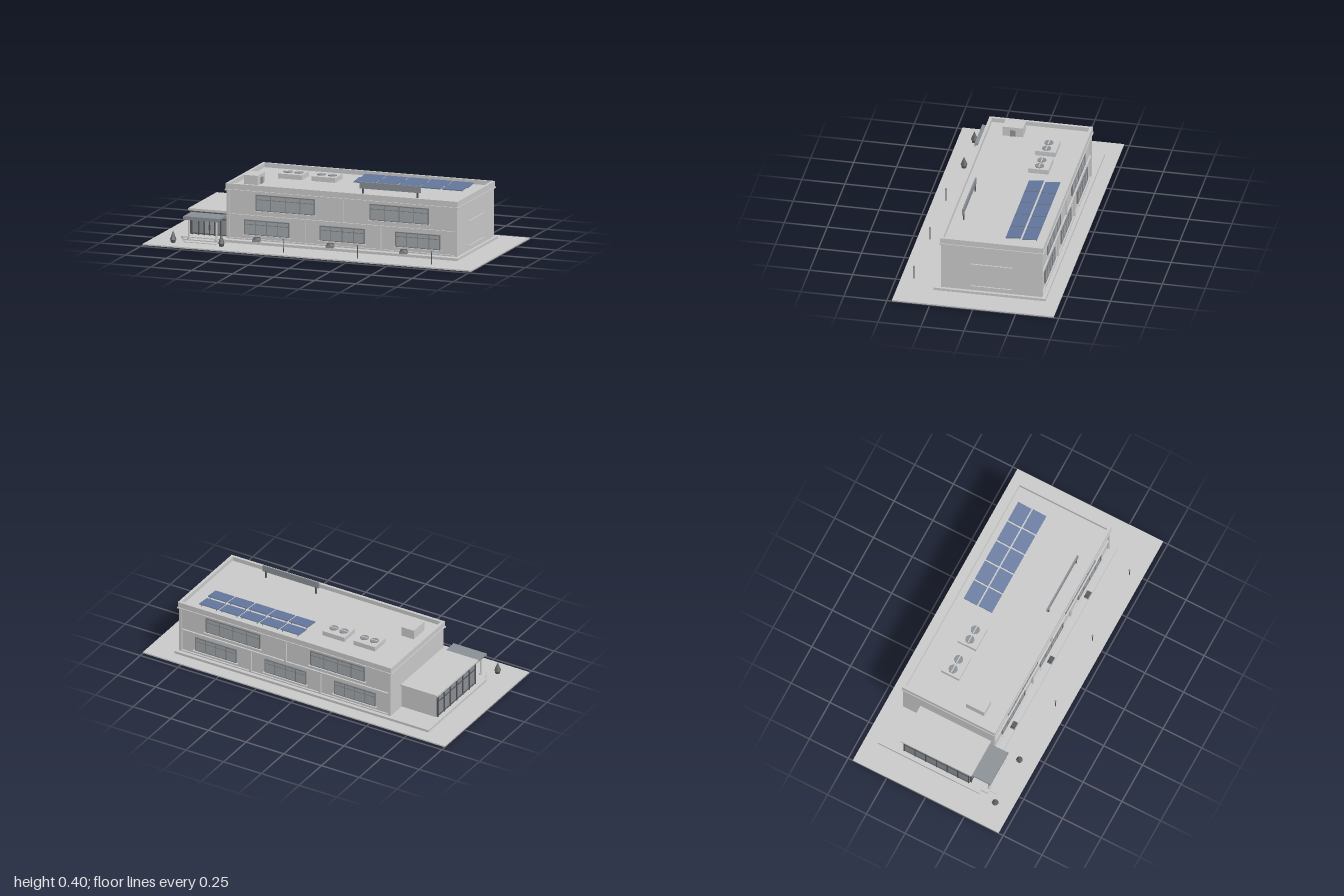
import * as THREE from 'three';

const mat = (name, color, extra = {}) => {
  const m = new THREE.MeshStandardMaterial({ color, ...extra });
  m.name = name;
  return m;
};

export function createModel() {
  const root = new THREE.Group();
  root.name = 'officeBuilding';
  const wall = mat('concrete', 0xc8c8c8);
  const frameMat = mat('frameGrey', 0x7c8084);
  const glass = mat('glassGrey', 0xa2a6aa);
  const metal = mat('metalGrey', 0x8a8f95);
  const blue = mat('solarBlue', 0x62769c);
  const dark = mat('darkGrey', 0x555759);

  const add = (geo, material, name, parent = root) => {
    const m = new THREE.Mesh(geo, material);
    m.name = name;
    parent.add(m);
    return m;
  };
  // box given by its extents on each axis
  const box = (name, material, x0, x1, y0, y1, z0, z1, parent = root) => {
    const m = add(new THREE.BoxGeometry(x1 - x0, y1 - y0, z1 - z0), material, name, parent);
    m.position.set((x0 + x1) / 2, (y0 + y1) / 2, (z0 + z1) / 2);
    return m;
  };
  const cyl = (name, material, r0, r1, y0, y1, x, z, n = 12, parent = root) => {
    const m = add(new THREE.CylinderGeometry(r1, r0, y1 - y0, n), material, name, parent);
    m.position.set(x, (y0 + y1) / 2, z);
    return m;
  };
  const group = (name, parent = root) => {
    const g = new THREE.Group();
    g.name = name;
    parent.add(g);
    return g;
  };
  const rect = (x0, x1, y0, y1, Type = THREE.Shape) => {
    const s = new Type();
    s.moveTo(x0, y0).lineTo(x1, y0).lineTo(x1, y1).lineTo(x0, y1).closePath();
    return s;
  };

  // Site and plinth
  box('groundSlab', wall, -1, 1, 0, 0.008, -0.47, 0.47);
  box('plinth', wall, -0.845, 0.84, 0.008, 0.023, -0.39, 0.262);
  box('upperStep', wall, -0.82, -0.585, 0.008, 0.018, 0.262, 0.305);
  box('lowerStep', wall, -0.8, -0.6, 0.008, 0.012, 0.305, 0.345);

  // Main block
  const X0 = -0.582, X1 = 0.822, ZB = -0.368, ZF = 0.222, CX = 0.12, CZ = (ZB + ZF) / 2;
  box('mainBlock', wall, X0, X1, 0.023, 0.32, ZB + 0.01, ZF - 0.01);

  // Parapet and cornice rings
  const ring = (name, out, inn, y0, y1) => {
    const s = rect(X0 - out, X1 + out, -ZF - out, -ZB + out);
    s.holes.push(rect(X0 + inn, X1 - inn, -ZF + inn, -ZB - inn, THREE.Path));
    const m = add(new THREE.ExtrudeGeometry(s, { depth: y1 - y0, bevelEnabled: false }), wall, name);
    m.rotation.x = -Math.PI / 2;
    m.position.y = y0;
  };
  ring('parapet', 0.005, 0.012, 0.312, 0.345);
  ring('cornice', 0.009, 0.012, 0.304, 0.311);

  // One long facade, built facing +z from the wall plane at z = 0
  const windowUnit = (parent, cx, w, y0, y1) => {
    const g = group('window', parent), a = cx - w / 2, b = cx + w / 2, t = 0.006;
    const s = rect(a, b, y0, y1);
    s.holes.push(rect(a + t, b - t, y0 + t, y1 - t, THREE.Path));
    add(new THREE.ExtrudeGeometry(s, { depth: 0.008, bevelEnabled: false }), frameMat, 'windowFrame', g)
      .position.z = -0.01;
    box('windowGlass', glass, a + t, b - t, y0 + t, y1 - t, -0.01, -0.006, g);
    const n = 4;
    for (let i = 1; i < n; i++) {
      const x = a + (w * i) / n;
      box('mullion', frameMat, x - 0.002, x + 0.002, y0 + t, y1 - t, -0.008, -0.003, g);
    }
    const ty = y0 + (y1 - y0) * 0.7;
    box('transom', frameMat, a + t, b - t, ty - 0.002, ty + 0.002, -0.008, -0.003, g);
    box('windowSill', wall, a - 0.008, b + 0.008, y0 - 0.005, y0 + 0.001, -0.01, 0.007, g);
  };
  const facade = (name) => {
    const g = group(name);
    const w = X1 - X0, s = rect(-w / 2, w / 2, 0.023, 0.312);
    const hole = (cx, hw, y0, y1) => s.holes.push(rect(cx - hw, cx + hw, y0, y1, THREE.Path));
    [-0.347, 0.347].forEach((x) => hole(x, 0.34, 0.168, 0.302));
    [-0.461, 0, 0.461].forEach((x) => hole(x, 0.224, 0.03, 0.16));
    add(new THREE.ExtrudeGeometry(s, { depth: 0.01, bevelEnabled: false }), wall, 'pilasterFrame', g)
      .position.z = -0.01;
    [-0.347, 0.347].forEach((x) => windowUnit(g, x, 0.36, 0.195, 0.29));
    [-0.461, 0, 0.461].forEach((x) => windowUnit(g, x, 0.275, 0.052, 0.14));
    return g;
  };
  facade('frontFacade').position.set(CX, 0, ZF);
  const back = facade('backFacade');
  back.position.set(CX, 0, ZB);
  back.rotation.y = Math.PI;

  // Ledges on the end wall
  [0.05, 0.193].forEach((y) => box('endWallLedge', wall, X1 - 0.002, X1 + 0.008, y - 0.003, y + 0.003, -0.195, 0.05));

  // Entrance wing with glazed front and side
  const wing = group('entranceWing');
  box('wingBody', wall, -0.81, X0, 0.023, 0.165, -0.245, 0.185, wing);
  box('wingRoof', wall, -0.825, X0, 0.163, 0.175, -0.256, 0.2, wing);
  box('sideGlazing', metal, -0.814, -0.809, 0.03, 0.155, -0.235, 0.18, wing);
  box('frontGlazing', metal, -0.805, -0.59, 0.03, 0.155, 0.184, 0.188, wing);
  for (let i = 0; i <= 6; i++) {
    const z = -0.235 + (0.415 * i) / 6;
    box('sideMullion', dark, -0.82, -0.81, 0.023, 0.163, z - 0.003, z + 0.003, wing);
  }
  [0.03, 0.122, 0.155].forEach((y) => {
    box('sideRail', dark, -0.818, -0.81, y - 0.003, y + 0.003, -0.235, 0.18, wing);
    box('frontRail', dark, -0.807, -0.588, y - 0.003, y + 0.003, 0.185, 0.192, wing);
  });
  [-0.805, -0.765, -0.73, -0.698, -0.666, -0.63, -0.59].forEach((x) =>
    box('frontMullion', dark, x - 0.003, x + 0.003, 0.023, 0.163, 0.185, 0.194, wing));
  [-0.714, -0.682].forEach((x) => {
    box('doorLeaf', glass, x - 0.013, x + 0.013, 0.026, 0.115, 0.187, 0.191, wing);
  });
  [-0.703, -0.693].forEach((x) => box('doorHandle', dark, x - 0.001, x + 0.001, 0.055, 0.085, 0.19, 0.196, wing));

  // Entrance canopy
  const canopy = group('canopy');
  box('canopyRoof', metal, -0.81, -0.592, 0.142, 0.153, 0.185, 0.312, canopy);
  box('canopyFascia', metal, -0.812, -0.59, 0.133, 0.153, 0.312, 0.316, canopy);
  [-0.785, -0.617].forEach((x) => {
    cyl('canopyColumn', wall, 0.006, 0.006, 0.018, 0.142, x, 0.295, 12, canopy);
    cyl('columnBase', wall, 0.01, 0.01, 0.018, 0.028, x, 0.295, 12, canopy);
    cyl('columnCap', wall, 0.009, 0.009, 0.136, 0.142, x, 0.295, 12, canopy);
  });

  // Roof hut with a side vent
  box('roofHut', wall, -0.515, -0.432, 0.32, 0.377, 0.002, 0.12);
  box('roofHutVent', metal, -0.433, -0.426, 0.322, 0.36, 0.045, 0.077);

  // Cooling units, each with two fans
  [-0.321, -0.118].forEach((x) => {
    const g = group('coolingUnit');
    box('unitCase', wall, x - 0.072, x + 0.072, 0.32, 0.348, -0.225, -0.107, g);
    [-0.033, 0.033].forEach((d) => {
      cyl('fan', metal, 0.026, 0.026, 0.348, 0.352, x + d, -0.166, 20, g);
      box('fanBar', wall, x + d - 0.025, x + d + 0.025, 0.351, 0.354, -0.169, -0.163, g);
    });
  });

  // Solar panels in two rows, gently tilted
  for (let r = 0; r < 2; r++) {
    for (let c = 0; c < 5; c++) {
      const g = group('solarPanel');
      g.position.set(0.119 + c * 0.1345, 0.332, -0.273 + r * 0.096);
      g.rotation.x = 0.1;
      box('panelBack', metal, -0.062, 0.062, -0.003, 0, -0.043, 0.043, g);
      box('panelFace', blue, -0.062, 0.062, 0, 0.003, -0.043, 0.043, g);
      [-0.05, 0.05].forEach((x) => box('panelLeg', metal, x - 0.002, x + 0.002, -0.014, -0.002, -0.038, -0.034, g));
    }
  }

  // Blank roof signboard on posts
  box('signBoard', metal, 0.2, 0.572, 0.36, 0.398, 0.142, 0.15);
  [0.22, 0.552].forEach((x) => box('signPost', dark, x - 0.004, x + 0.004, 0.32, 0.365, 0.142, 0.149));

  // Planters, lamps and conifers along the front
  [-0.39, 0.058, 0.506].forEach((x) => {
    box('planter', metal, x - 0.022, x + 0.022, 0.023, 0.037, 0.232, 0.26);
    const top = add(new THREE.CylinderGeometry(0.7, 0.9, 1, 4, 1).rotateY(Math.PI / 4), dark, 'planterShrub');
    top.scale.set(0.032, 0.011, 0.02);
    top.position.set(x, 0.0425, 0.246);
  });
  [-0.168, 0.282, 0.732].forEach((x) => {
    cyl('lampPost', dark, 0.003, 0.0025, 0.008, 0.082, x, 0.396, 8);
    cyl('lampHead', metal, 0.006, 0.006, 0.08, 0.087, x, 0.396, 8);
  });
  const leaf = mat('coniferGrey', 0x626567, { flatShading: true });
  [-0.852, -0.558].forEach((x) => {
    cyl('coniferTrunk', dark, 0.014, 0.017, 0.008, 0.026, x, 0.37, 8);
    cyl('coniferCrown', leaf, 0.02, 0.001, 0.026, 0.076, x, 0.37, 7);
  });
  return root;
}
